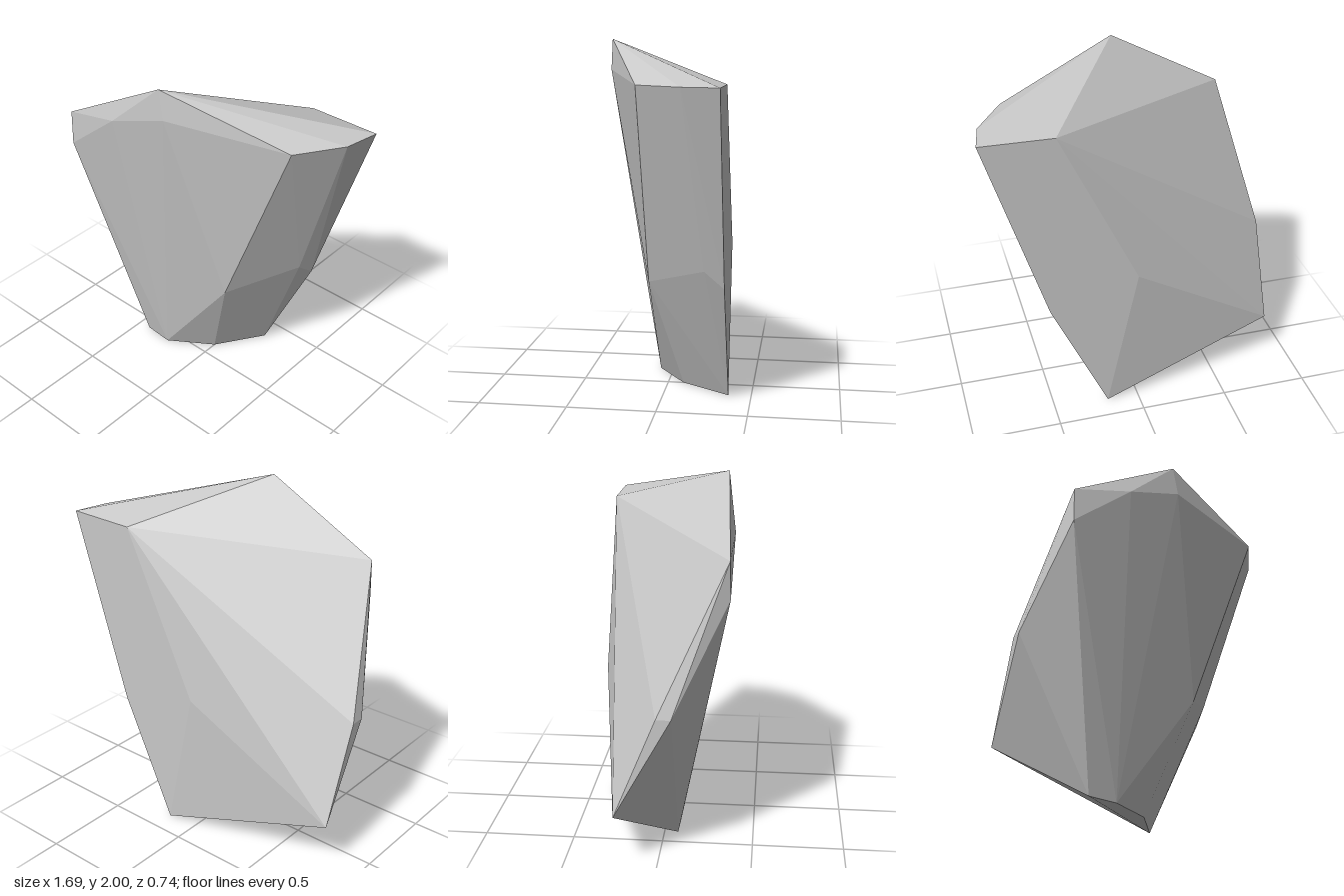
import * as THREE from 'three';
import { ConvexGeometry } from 'three/addons/geometries/ConvexGeometry.js';

// Faceted standing stone: the convex hull of its corners.
export function createModel() {
  const stone = new THREE.MeshStandardMaterial({ color: 0xc8c8c8, flatShading: true });
  stone.name = 'paleGreyStone';

  const crown = [
    [-0.03, 2, 0.322], [0, 1.83, 0.325], [-0.33, 1.72, 0.372],
    [-0.67, 1.64, 0.36], [-0.67, 1.44, 0.365],
    [0.645, 1.78, 0.08], [0.805, 1.78, -0.17], [0.842, 1.78, -0.37], [0.44, 1.775, -0.37],
  ];
  const waist = [
    [0.225, 0.66, 0.08], [0.495, 0.79, -0.26], [0.505, 0.7, -0.37],
    [0, 0.85, -0.37], [-0.84, 0.85, 0], [-0.84, 0.85, 0.08], [-0.845, 0.3, -0.225],
  ];
  const foot = [
    [-0.41, 0.015, 0.08], [-0.25, 0, 0.08], [0, 0, -0.09], [0.183, 0, -0.37],
  ];

  const corners = [...crown, ...waist, ...foot].map((p) => new THREE.Vector3(...p));
  const rock = new THREE.Mesh(new ConvexGeometry(corners), stone);
  rock.name = 'rock';

  const group = new THREE.Group();
  group.name = 'facetedRock';
  group.add(rock);
  return group;
}
